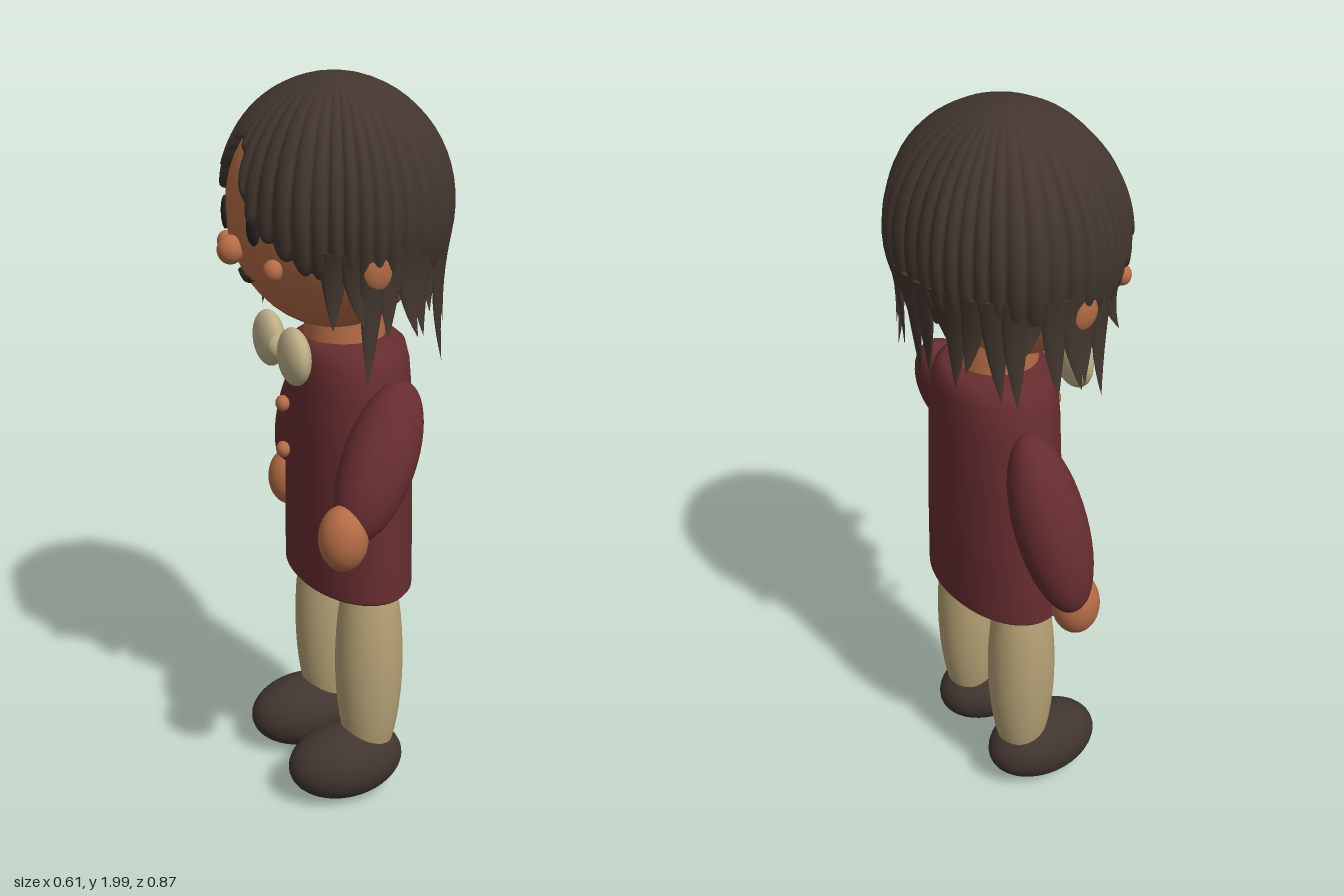
import * as THREE from 'three';

const mat = (name, color, side = THREE.FrontSide) => {
  const m = new THREE.MeshStandardMaterial({ color, side });
  m.name = name;
  return m;
};

export function createModel() {
  const skin = mat('skin', 0xb46c46);
  const red = mat('shirt red', 0x672d30);
  const tan = mat('trouser tan', 0xb5a175);
  const cream = mat('bow cream', 0xbcae86);
  const brown = mat('hair brown', 0x42362e, THREE.DoubleSide);
  const shoeBrown = mat('shoe brown', 0x41352f);
  const black = mat('eye black', 0x2a2422);

  const model = new THREE.Group();
  const figure = new THREE.Group();
  figure.name = 'figure';
  figure.rotation.y = -1.1; // the figure is turned to its right
  model.add(figure);

  const add = (name, geo, material, x = 0, y = 0, z = 0) => {
    const m = new THREE.Mesh(geo, material);
    m.name = name;
    m.position.set(x, y, z);
    figure.add(m);
    return m;
  };
  const ball = (name, material, [x, y, z], [rx, ry, rz]) =>
    add(name, new THREE.SphereGeometry(1, 36, 24).scale(rx, ry, rz), material, x, y, z);

  // Legs and shoes
  for (const s of [1, -1]) {
    ball('leg', tan, [s * 0.146 - 0.004, 0.42, -0.054], [0.094, 0.36, 0.094]);
    ball('shoe', shoeBrown, [s * 0.147 - 0.004, 0.112, 0.016], [0.111, 0.107, 0.168]);
  }

  // Shirt: elliptical rings from hem to collar [y, half width, half depth]
  const rings = [[0.65, 0.001, 0.001], [0.64, 0.22, 0.13], [0.635, 0.245, 0.148], [0.645, 0.254, 0.156],
    [0.85, 0.243, 0.157], [1.05, 0.225, 0.157], [1.2, 0.207, 0.157], [1.27, 0.193, 0.153],
    [1.31, 0.17, 0.145], [1.328, 0.14, 0.125], [1.332, 0.001, 0.001]];
  const shirt = new THREE.LatheGeometry(rings.map(([y, w]) => new THREE.Vector2(w, y)), 48);
  const sp = shirt.attributes.position;
  for (let i = 0; i < sp.count; i++) {
    const [, w, d] = rings[i % rings.length];
    sp.setZ(i, sp.getZ(i) * d / w);
  }
  shirt.computeVertexNormals();
  add('shirt', shirt, red, -0.006, 0, -0.054);

  // Sleeves and hands: the left arm swings forward
  const arm = (c, dir, half, hand) => {
    const sleeve = ball('sleeve', red, c, [0.094, half, 0.094]);
    sleeve.quaternion.setFromUnitVectors(new THREE.Vector3(0, -1, 0), new THREE.Vector3(...dir).normalize());
    ball('hand', skin, hand, [0.063, 0.087, 0.063]);
  };
  arm([0.3, 1.08, -0.002], [0.097, -0.31, 0.173], 0.215, [0.355, 0.915, 0.119]);
  arm([-0.33, 1.01, -0.081], [-0.117, -0.4, 0.053], 0.25, [-0.373, 0.775, -0.028]);

  // Buttons and bow tie
  for (const y of [1.155, 1.025]) ball('button', skin, [0, y, 0.137], [0.022, 0.022, 0.018]);
  for (const s of [1, -1]) {
    const lobe = ball('bowLobe', cream, [s * 0.088, 1.31, 0.138], [0.075, 0.075, 0.037]);
    lobe.rotation.z = s * 0.15;
  }
  ball('bowKnot', cream, [0, 1.31, 0.142], [0.032, 0.037, 0.035]);

  // Neck, head and face
  add('neck', new THREE.CylinderGeometry(0.1, 0.11, 0.16, 32), skin, 0, 1.37, -0.04);
  ball('head', skin, [0, 1.66, 0], [0.31, 0.3, 0.26]);
  ball('nose', skin, [0, 1.58, 0.27], [0.034, 0.037, 0.034]);
  for (const s of [1, -1]) {
    ball('cheek', skin, [s * 0.165, 1.56, 0.222], [0.027, 0.028, 0.024]);
    ball('ear', skin, [s * 0.305, 1.58, 0.01], [0.025, 0.06, 0.045]);
    const eye = ball('eye', black, [s * 0.1, 1.652, 0.246], [0.024, 0.043, 0.011]);
    eye.rotation.y = s * 0.3;
  }
  const smile = new THREE.QuadraticBezierCurve3(
    new THREE.Vector3(-0.045, 1.515, 0.227), new THREE.Vector3(0, 1.485, 0.228), new THREE.Vector3(0.045, 1.515, 0.227));
  add('mouth', new THREE.TubeGeometry(smile, 16, 0.008, 8), black);

  // Hair cap: rim height by angle from the face, in degrees, with a side parting
  const rim = [[-180, 1.52], [-90, 1.55], [-62, 1.58], [-47, 1.65], [-30, 1.77], [-12, 1.86], [3, 1.87],
    [9, 1.8], [15, 1.7], [32, 1.63], [50, 1.57], [90, 1.56], [180, 1.52]];
  const rimAt = (deg) => {
    const k = Math.max(1, rim.findIndex(([a]) => a >= deg));
    const [a, ya] = rim[k - 1], [b, yb] = rim[k];
    return ya + (yb - ya) * (deg - a) / (b - a);
  };
  const C = { y: 1.68, z: -0.014, rx: 0.343, ry: 0.318, rz: 0.293 };
  const N = 352, ROWS = 20, pos = [], idx = [];
  for (let j = 0; j <= ROWS + 1; j++) {
    for (let i = 0; i <= N; i++) {
      const deg = -180 + 360 * i / N, a = deg * Math.PI / 180;
      const strand = Math.abs(Math.sin(22 * a + 0.9 * Math.sin(5 * a))); // rounded strands
      const bottom = rimAt(deg) - 0.018 * strand;
      const end = Math.acos(Math.max(-1, (bottom - C.y) / C.ry));
      const t = Math.min(j, ROWS) / ROWS, polar = t * end;
      const fade = Math.min(1, t * 2.2);
      const k = j > ROWS ? 0.9 : 1 - 0.05 * fade * (1 - Math.sqrt(strand)) + 0.012 * fade * Math.sin(9 * a + 1);
      const r = Math.sin(polar) * k;
      pos.push(C.rx * r * Math.sin(a), C.y + C.ry * Math.cos(polar), C.z + C.rz * r * Math.cos(a));
      if (i < N && j <= ROWS) {
        const p = j * (N + 1) + i, q = p + N + 1;
        idx.push(p, q, p + 1, q, q + 1, p + 1);
      }
    }
  }
  const cap = new THREE.BufferGeometry();
  cap.setAttribute('position', new THREE.Float32BufferAttribute(pos, 3));
  cap.setIndex(idx);
  cap.computeVertexNormals();
  add('hairCap', cap, brown);

  // Hanging locks: flattened curved spikes around the sides and nape
  const COUNT = 25;
  for (let i = 0; i < COUNT; i++) {
    const deg = 62 + 236 * i / (COUNT - 1), a = deg * Math.PI / 180;
    const top = 1.62, tip = 1.39 + 0.06 * Math.sin(i * 2.4) + 0.04 * Math.cos(i * 1.3);
    const h = top - tip, side = Math.abs(Math.sin(a));
    const g = new THREE.ConeGeometry(0.036, h, 10, 8).rotateX(Math.PI).translate(0, -h / 2, 0).scale(1, 1, 0.4);
    const p = g.attributes.position;
    for (let v = 0; v < p.count; v++) {
      const t = -p.getY(v) / h;
      p.setX(v, p.getX(v) * (1 + 0.9 * t) + 0.025 * t * t * Math.sin(i * 1.9));
      p.setZ(v, p.getZ(v) + t * (-0.035 + 0.05 * side * t));
    }
    g.computeVertexNormals();
    const lock = add('hairLock', g, brown, 0.318 * Math.sin(a), top, C.z + 0.272 * Math.cos(a));
    lock.rotation.y = a;
  }

  return model;
}
